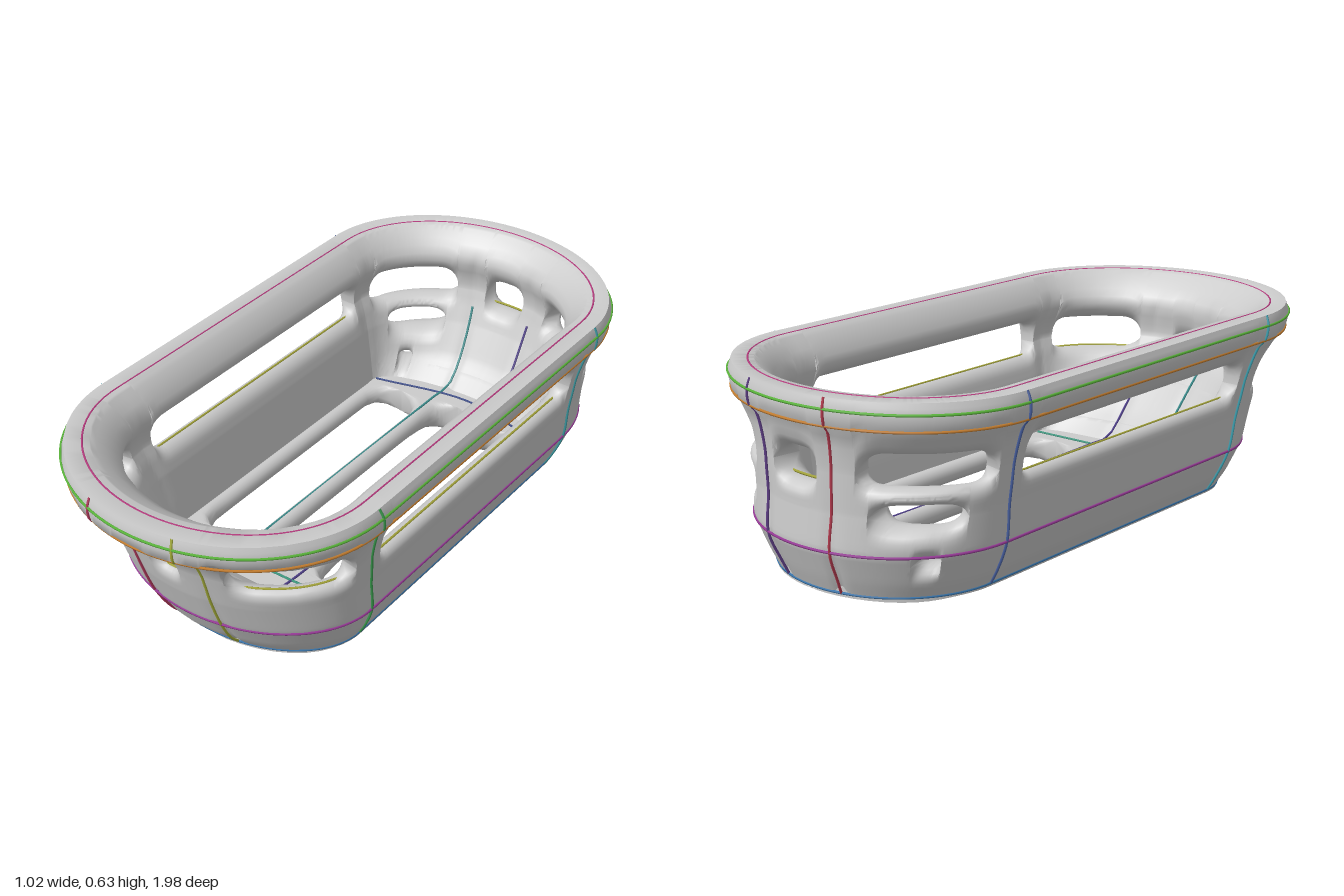
import * as THREE from 'three';
import { toCreasedNormals } from 'three/addons/utils/BufferGeometryUtils.js';

const PERIOD = 560;      // loop parameter: 0 front centre, 90-190 left side, 280 back centre, 370-470 right side
const lerp = THREE.MathUtils.lerp;
const rad = THREE.MathUtils.degToRad;

// Wall profile: y, then half width, front z, back z of the outer and of the inner skin
const PROFILE = [
  [0.055, 0.36, 0.70, 0.90, 0.33, 0.46, 0.62],
  [0.10, 0.385, 0.74, 0.92, 0.335, 0.50, 0.67],
  [0.19, 0.42, 0.79, 0.955, 0.345, 0.61, 0.76],
  [0.30, 0.43, 0.83, 0.945, 0.36, 0.72, 0.82],
  [0.37, 0.44, 0.85, 0.945, 0.375, 0.79, 0.85],
  [0.42, 0.447, 0.865, 0.945, 0.393, 0.815, 0.865],
  [0.47, 0.46, 0.89, 0.95, 0.385, 0.81, 0.86],
  [0.51, 0.473, 0.925, 0.957, 0.365, 0.80, 0.84],
  [0.535, 0.485, 0.95, 0.965, 0.363, 0.80, 0.835],
  [0.55, 0.50, 0.985, 0.98, 0.368, 0.81, 0.84],
  [0.595, 0.505, 0.99, 0.985, 0.395, 0.86, 0.875],
  [0.625, 0.493, 0.98, 0.975, 0.425, 0.905, 0.915],
];

function profileAt(y) {
  let i = 0;
  while (i < PROFILE.length - 2 && y > PROFILE[i + 1][0]) i++;
  const p = PROFILE[i], q = PROFILE[i + 1];
  const t = (y - p[0]) / (q[0] - p[0]);
  return p.map((v, k) => lerp(v, q[k], t));
}

// Point on the stadium loop at height y; depth 0 = outer skin, 1 = inner skin
function wallPoint(s, y, depth) {
  const p = profileAt(y);
  const [a, zf, zb] = [1, 2, 3].map((k) => lerp(p[k], p[k + 3], depth));
  const zs = 0.45 + 0.17 * (y - 0.05), ze = -0.57;
  s = (s + PERIOD) % PERIOD;
  let x, z;
  if (s <= 90 || s >= 470) {
    const t = rad(s <= 90 ? s : s - PERIOD);
    x = a * Math.sin(t); z = zs + (zf - zs) * Math.cos(t);
  } else if (s < 190) {
    x = a; z = lerp(zs, ze, (s - 90) / 100);
  } else if (s <= 370) {
    const t = rad(s - 190);
    x = a * Math.cos(t); z = ze - (zb + ze) * Math.sin(t);
  } else {
    x = -a; z = lerp(ze, zs, (s - 370) / 100);
  }
  return new THREE.Vector3(x, y, z);
}

// Openings: start, end, level, low edge, high edge, length of the rounded ends
const LEVELS = [0.16, 0.295, 0.41];
const HALF = [
  [-7, 7, 2, 0.37, 0.43, 6],
  [25, 80, 2, 0.37, 0.467, 11],
  [93.5, 186.5, 2, 0.37, 0.48, 4.5],
  [198, 254, 2, 0.375, 0.47, 11],
  [210, 249, 1, 0.262, 0.327, 14],
  [220, 232, 0, 0.147, 0.173, 6],
  [269, 291, 2, 0.36, 0.455, 8],
];
const WINDOWS = [...HALF, ...HALF.slice(0, 6).map(([a, b, ...r]) => [PERIOD - b, PERIOD - a, ...r])];
const RIBS = [17, 90, 190, 263, 297, 370, 470, 543];

// 0..1 opening of a slot with rounded ends
function opening(s, a, b, end) {
  const d = Math.min(s - a, b - s);
  if (d <= 0) return 0;
  return d >= end ? 1 : Math.sqrt(1 - ((end - d) / end) ** 2);
}

// Samples packed towards every break
function samples(breaks, n) {
  const list = [...new Set(breaks)].sort((a, b) => a - b);
  const out = [];
  for (let i = 0; i + 1 < list.length; i++)
    for (let k = 0; k < n; k++)
      out.push(lerp(list[i], list[i + 1], (1 - Math.cos(Math.PI * k / n)) / 2));
  return out;
}

// Closed padded cross-section between lo and hi, rounded at its open edges
function section(lo, hi, openLo, openHi, radius, point) {
  const K = 10, one = [], two = [];
  const r = Math.min(radius, (hi - lo) / 2);
  const inset = (d, open) => (d < r ? open * (1 - Math.sqrt(1 - ((r - d) / r) ** 2)) / 2 : 0);
  for (let k = 0; k <= K; k++) {
    const v = lerp(lo, hi, (1 - Math.cos(Math.PI * k / K)) / 2);
    const e = Math.max(inset(v - lo, openLo), inset(hi - v, openHi));
    one.push(point(v, e));
    two.unshift(point(v, 1 - e));
  }
  return [...one, ...two];
}

// Skin over a row of closed cross-sections
function loft(rings, closed) {
  const n = rings[0].length, m = rings.length, index = [];
  for (let i = 0; i < (closed ? m : m - 1); i++)
    for (let j = 0; j < n; j++) {
      const i2 = (i + 1) % m, j2 = (j + 1) % n;
      const a = i * n + j, b = i2 * n + j, c = i2 * n + j2, d = i * n + j2;
      index.push(a, b, c, a, c, d);
    }
  const g = new THREE.BufferGeometry().setFromPoints(rings.flat());
  g.setIndex(index);
  return toCreasedNormals(g, 0.9);
}

export function createModel() {
  const model = new THREE.Group();
  model.name = 'basketTub';
  const grey = new THREE.MeshStandardMaterial({ color: 0xcccccc, side: THREE.DoubleSide });
  const add = (name, geometry, material = grey) => {
    const mesh = new THREE.Mesh(geometry, material);
    mesh.name = name;
    model.add(mesh);
  };

  // Padded wall: four stacked bands that part at the windows and meet at the posts
  const breaks = [0, PERIOD, ...RIBS, ...WINDOWS.flatMap(([a, b, , , , end]) => [a, a + end, b - end, b])]
    .filter((s) => s >= 0 && s <= PERIOD);
  const bands = [[], [], [], []];
  for (const s of samples(breaks, 6)) {
    const edges = LEVELS.map((y) => [y, y, 0]);
    for (const [a, b, level, lo, hi, end] of WINDOWS) {
      const f = opening(s, a, b, end), mid = LEVELS[level];
      if (f > 0) edges[level] = [lerp(mid, lo, f), lerp(mid, hi, f), Math.min(1, f * 1.2)];
    }
    const pinch = RIBS.reduce((m, r) => Math.max(m, Math.exp(-(((s - r) / 2.5) ** 2))), 0) * 0.08;
    const point = (y, e) => wallPoint(s, y, lerp(e, 0.5, y < 0.53 ? pinch : 0));
    bands.forEach((rings, i) => {
      const [lo, openLo] = i ? [edges[i - 1][1], edges[i - 1][2]] : [0.055, 0];
      const [hi, openHi] = i < 3 ? [edges[i][0], edges[i][2]] : [0.625, 0];
      rings.push(section(lo, hi, openLo, openHi, 0.045, point));
    });
  }
  ['lowerWall', 'middleWall', 'sillWall', 'rimWall'].forEach((name, i) => add(name, loft(bands[i], true)));

  // Floor: four lengthwise bars that part at three slots, with two swellings below
  const SLOTS = [[-0.30, -0.13, -0.57], [-0.075, 0.075, -0.60], [0.13, 0.30, -0.57]];
  const bump = (z, c) => Math.exp(-(((z - c) / 0.13) ** 2));
  const under = (x, z) => 0.046 - 0.048 * Math.max(bump(z, 0.45), bump(z, -0.65))
    * Math.max(0, (1 - Math.min(1, (x / 0.34) ** 2)) ** 1.3 * 1.1 - 0.25 * Math.exp(-((x / 0.06) ** 2)));
  const bars = [[], [], [], []];
  for (const z of samples([-0.899, -0.6, -0.57, 0.39, 0.699], 16)) {
    const t = z > 0.45 ? (z - 0.45) / 0.25 : z < -0.57 ? (z + 0.57) / 0.33 : 0;
    const width = Math.sqrt(1 - t * t);
    const edges = SLOTS.map(([a, b, back]) => {
      const f = opening(z, back, 0.39, 0.08), mid = (a + b) / 2;
      return [lerp(mid, a, f), lerp(mid, b, f), Math.min(1, f * 1.2)];
    });
    const point = (x, e) => {
      const px = x * width;
      return new THREE.Vector3(px, lerp(0.11, under(px, z), e), z);
    };
    bars.forEach((rings, i) => {
      const [lo, openLo] = i ? [edges[i - 1][1], edges[i - 1][2]] : [-0.36, 0];
      const [hi, openHi] = i < 3 ? [edges[i][0], edges[i][2]] : [0.36, 0];
      rings.push(section(lo, hi, openLo, openHi, 0.03, point));
    });
  }
  bars.forEach((rings, i) => add('floorBar' + (i + 1), loft(rings, false)));

  // Coloured seam cords
  const cord = (name, points, color, closed = false) => {
    const curve = new THREE.CatmullRomCurve3(points, closed);
    add(name, new THREE.TubeGeometry(curve, closed ? 160 : 40, 0.004, 5, closed),
      new THREE.MeshStandardMaterial({ color }));
  };
  const ring = (y, depth) => Array.from({ length: 112 }, (_, i) => wallPoint(i * 5, y, depth));
  cord('baseSeam', ring(0.055, 0), 0x3a78b0, true);
  cord('waistSeam', ring(0.19, 0), 0x9a3c9a, true);
  cord('sillSeam', ring(0.37, 0.5), 0xa8a83c, true);
  cord('lowerRimSeam', ring(0.548, 0), 0xc88030, true);
  cord('outerRimSeam', ring(0.595, 0), 0x5cb83c, true);
  cord('topRimSeam', ring(0.623, 0.7), 0xb83c80, true);

  const ribColors = [0xa8b03c, 0x3ca050, 0x3c98a0, 0x604088, 0xb83c50, 0x4860a0, 0x3ca0b0, 0xb83c60];
  RIBS.forEach((s, i) => cord('ribSeam' + (i + 1), PROFILE.map((p) => wallPoint(s, p[0], 0)), ribColors[i]));

  // Seams across the floor, and lengthwise ones running up both sloping ends
  const onFloor = (x, z) => new THREE.Vector3(x, 0.112, z);
  cord('frontFloorSeam', [onFloor(-0.33, 0.43), onFloor(0, 0.445), onFloor(0.33, 0.43)], 0x3c9880);
  cord('backFloorSeam', [onFloor(-0.33, -0.58), onFloor(0, -0.65), onFloor(0.33, -0.58)], 0x40508c);
  const slope = [0.36, 0.30, 0.19, 0.12];
  for (const [name, front, back, x, color] of [
    ['leftFloorSeam', 17, 263, 0.105, 0x50408c], ['rightFloorSeam', 543, 297, -0.105, 0x3c9090]])
    cord(name, [
      ...slope.map((y) => wallPoint(front, y, 1)), onFloor(x, 0.44), onFloor(x, -0.6),
      ...slope.map((y) => wallPoint(back, y, 1)).reverse()], color);
  return model;
}
